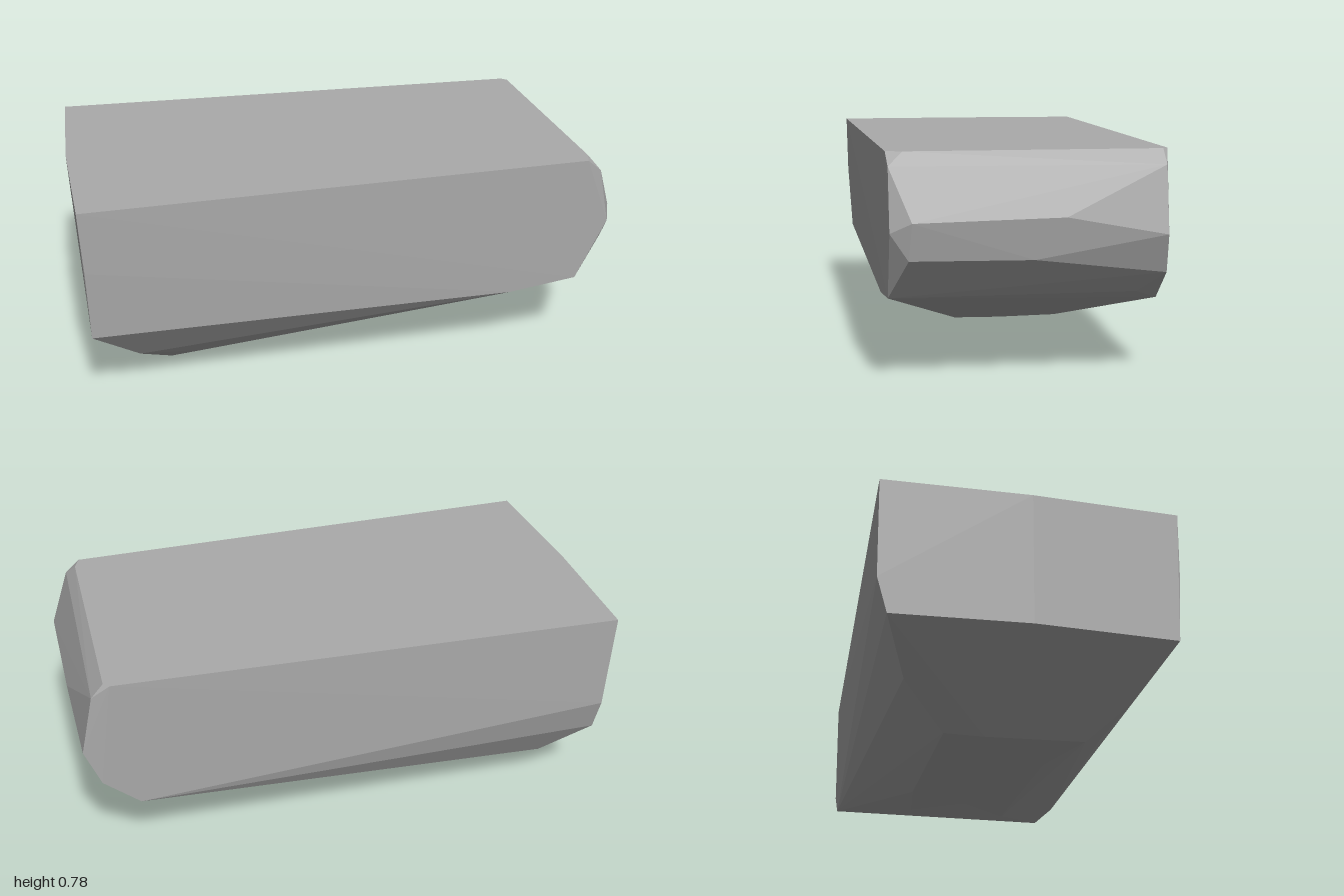
import * as THREE from 'three';
import { ConvexGeometry } from 'three/addons/geometries/ConvexGeometry.js';

// Faceted convex block: flat top, blunt left end, rounded right end, keel-like underside
const top = 0.78;
const sections = {
  deckRim: [
    [-0.985, top, 0.525], [-1, top, 0], [-0.985, top, -0.527],
    [0.87, top, -0.465], [0.89, top, -0.445], [0.89, top, 0.42], [0.87, top, 0.475],
  ],
  leftEnd: [
    [-0.975, 0.55, 0.521], [-0.97, 0.285, 0.505], [-0.978, 0.29, 0],
    [-0.965, 0.28, -0.485], [-0.97, 0.41, -0.522],
  ],
  rightEnd: [
    [0.925, 0.735, 0.47], [0.935, 0.73, -0.447], [0.97, 0.525, 0.47],
    [1, 0.56, 0.4], [0.998, 0.57, -0.1], [0.985, 0.505, -0.443],
    [0.975, 0.435, 0.41], [0.975, 0.43, 0], [0.93, 0.37, -0.453],
    [0.86, 0.295, 0.47], [0.87, 0.31, 0.22], [0.86, 0.295, -0.37], [0.8, 0.26, -0.455],
  ],
  underside: [
    [0.6, 0.265, 0.476], [-0.8, 0.13, 0.39], [-0.56, 0.085, 0.34], [-0.675, 0.02, 0.25],
    [-0.5, 0, 0.15], [-0.67, 0.01, -0.1], [-0.65, 0.02, -0.24], [-0.79, 0.14, -0.4],
    [0.02, 0.035, -0.03], [0.3, 0.1, 0.18], [0.3, 0.1, -0.2], [0, 0.06, -0.24],
  ],
};

export function createModel() {
  const group = new THREE.Group();
  group.name = 'facetedBlock';
  const grey = new THREE.MeshStandardMaterial({ color: 0xaaaaaa });
  grey.name = 'grey';

  // One hull wrapped around all the section corners
  const points = Object.values(sections).flat().map((p) => new THREE.Vector3(...p));
  const hull = new THREE.Mesh(new ConvexGeometry(points), grey);
  hull.name = 'hull';
  group.add(hull);
  return group;
}
